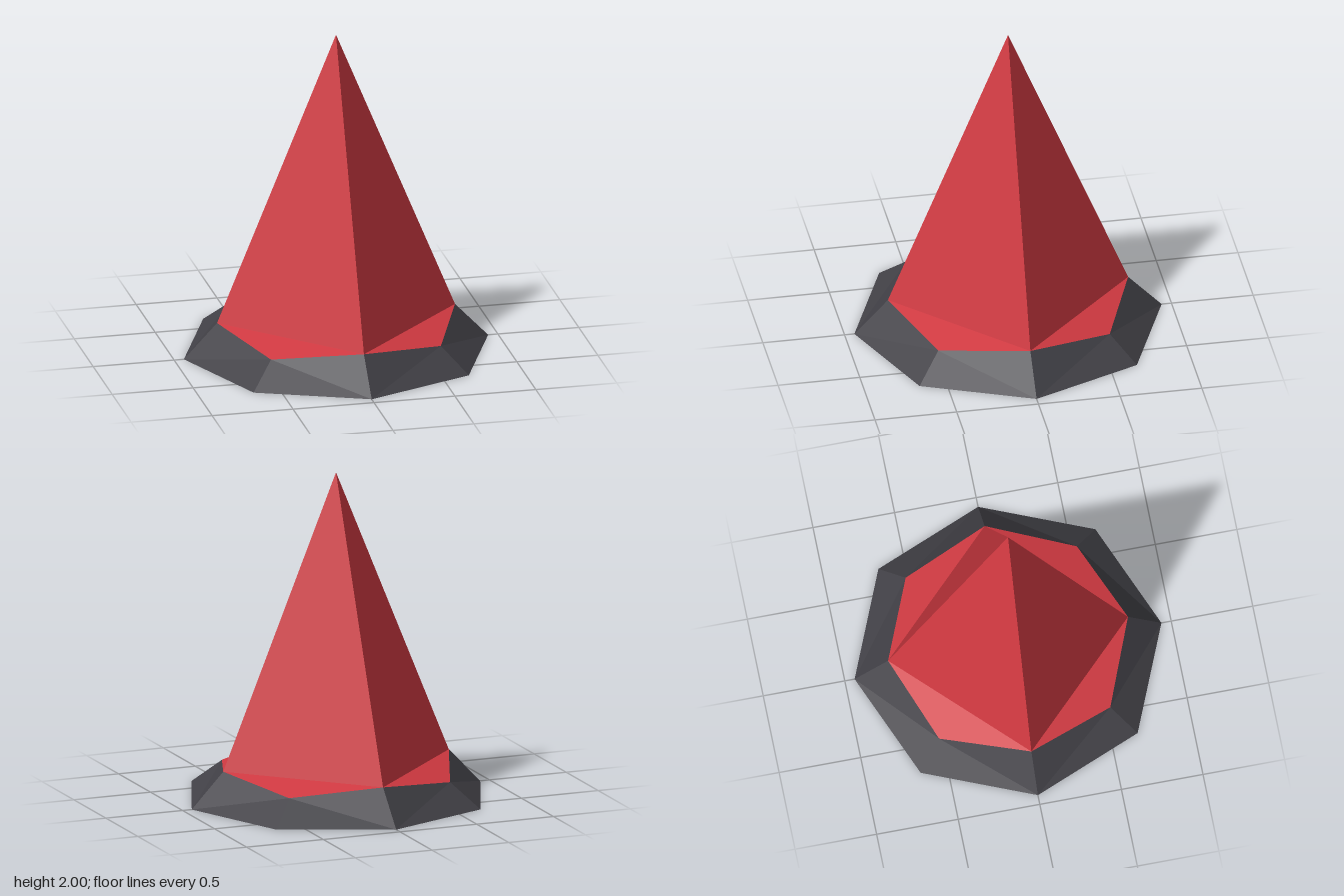
import * as THREE from 'three';

const red = new THREE.MeshStandardMaterial({ name: 'red', color: 0xd03941, flatShading: true });
const charcoal = new THREE.MeshStandardMaterial({ name: 'charcoal', color: 0x424147, flatShading: true });

// Point on an eight-cornered ring, corner 0 at the front, turning towards +x
const corner = (i, radius, y) => {
  const a = (i * Math.PI) / 4;
  return new THREE.Vector3(radius * Math.sin(a), y, radius * Math.cos(a));
};
const low = (i) => corner(i, 0.94, 0);
const high = (i) => (i % 2 ? corner(i, 0.742, 0.15) : corner(i, 0.735, 0.215));

// Flat-shaded mesh from a list of triangle corners
function facets(name, points, material) {
  const geometry = new THREE.BufferGeometry().setFromPoints(points);
  geometry.computeVertexNormals();
  const mesh = new THREE.Mesh(geometry, material);
  mesh.name = name;
  return mesh;
}

export function createModel() {
  const group = new THREE.Group();
  group.name = 'spike';
  const apex = new THREE.Vector3(0, 2, 0);
  const centre = new THREE.Vector3(0, 0, 0);
  const skirt = [], underside = [], spike = [], collar = [];

  for (let i = 0; i < 8; i += 2) {
    // Sloping skirt, each panel folded from the upper diagonal corner
    skirt.push(low(i), low(i + 1), high(i + 1), low(i), high(i + 1), high(i));
    skirt.push(low(i + 1), low(i + 2), high(i + 1), low(i + 2), high(i + 2), high(i + 1));
    // Four-sided spike and the shallow collar facet below each side
    spike.push(high(i), high(i + 2), apex);
    collar.push(high(i), high(i + 1), high(i + 2));
  }
  for (let i = 0; i < 8; i++) underside.push(centre, low(i + 1), low(i));

  group.add(
    facets('baseSkirt', skirt, charcoal),
    facets('baseUnderside', underside, charcoal),
    facets('spikeBody', spike, red),
    facets('spikeCollar', collar, red)
  );
  return group;
}
